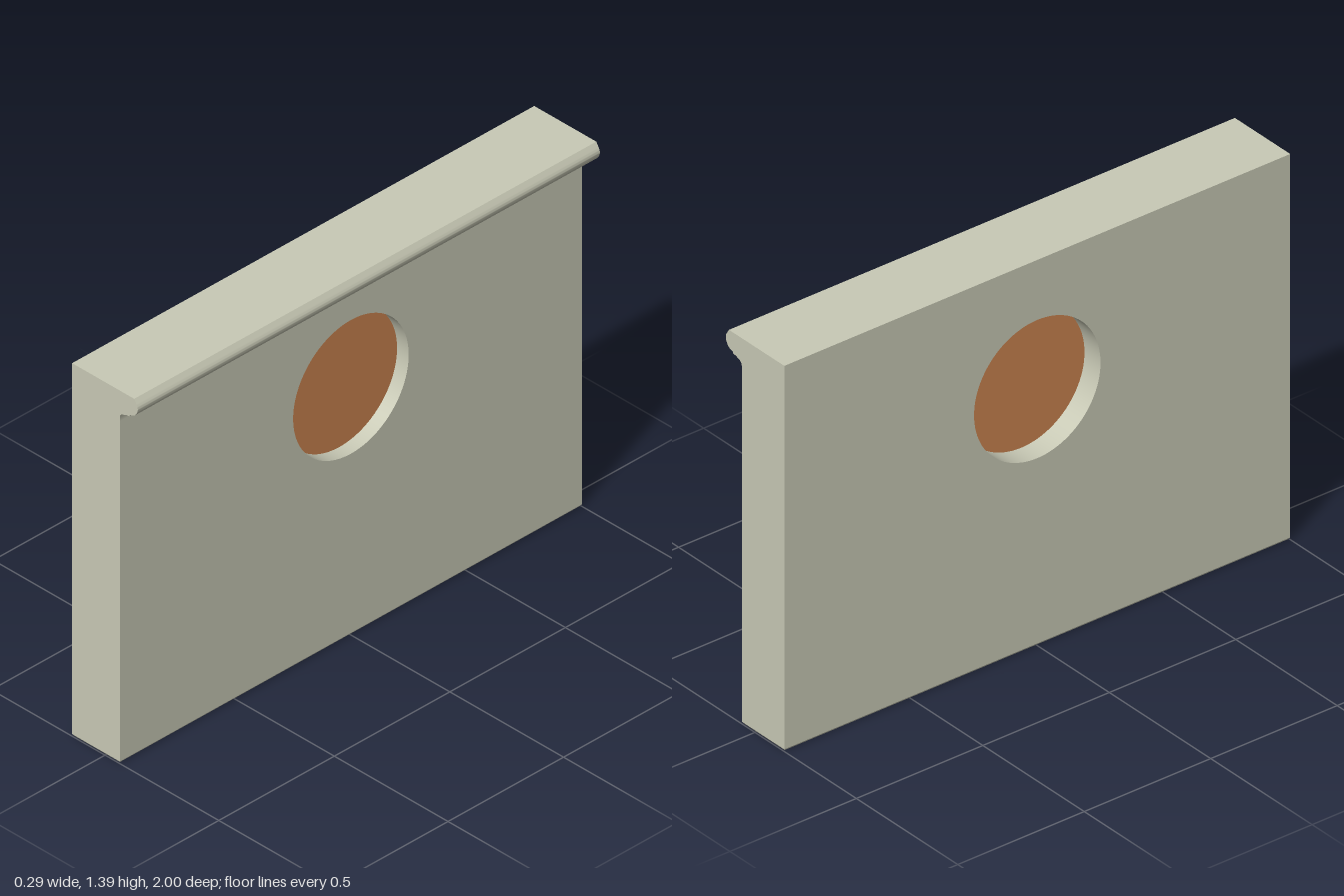
import * as THREE from 'three';
import { toCreasedNormals } from 'three/addons/utils/BufferGeometryUtils.js';

const BACK = -0.145, FACE = 0.065;   // wall faces along x
const FOOT = 0.008, CAP = 1.28, TOP = 1.395;
const HOLE_Y = 0.928, HOLE_R = 0.25;

export function createModel() {
  const group = new THREE.Group();
  const stone = new THREE.MeshStandardMaterial({ color: 0xc9cab6 });
  const orange = new THREE.MeshStandardMaterial({ color: 0xcc8450 });

  const add = (name, geometry, material) => {
    const mesh = new THREE.Mesh(geometry, material);
    mesh.name = name;
    group.add(mesh);
    return mesh;
  };

  // Wall slab with a round opening, extruded through its thickness
  const wall = new THREE.Shape();
  wall.moveTo(-1, FOOT).lineTo(1, FOOT).lineTo(1, CAP).lineTo(-1, CAP).closePath();
  wall.holes.push(new THREE.Path().absarc(0, HOLE_Y, HOLE_R, 0, Math.PI * 2, true));
  const wallGeo = new THREE.ExtrudeGeometry(wall, {
    depth: FACE - BACK, bevelEnabled: false, curveSegments: 48,
  });
  wallGeo.rotateY(Math.PI / 2).translate(BACK, 0, 0);
  add('wall', toCreasedNormals(wallGeo, 0.6), stone);

  // Softened bottom edge: a thin box whose lower corners are drawn inwards
  const footGeo = new THREE.BoxGeometry(FACE - BACK, FOOT, 2).toNonIndexed();
  const p = footGeo.attributes.position;
  for (let i = 0; i < p.count; i++) {
    if (p.getY(i) > 0) continue;
    p.setX(i, p.getX(i) - Math.sign(p.getX(i)) * 0.006);
    p.setZ(i, p.getZ(i) - Math.sign(p.getZ(i)) * 0.006);
  }
  footGeo.computeVertexNormals();
  footGeo.translate((BACK + FACE) / 2, FOOT / 2, 0);
  add('bottomEdge', footGeo, stone);

  // Top of the wall with its overhanging moulding, extruded along z
  const cap = new THREE.Shape();
  cap.moveTo(BACK, CAP);
  cap.lineTo(FACE, CAP);
  cap.lineTo(FACE, 1.295);
  cap.quadraticCurveTo(0.067, 1.311, 0.083, 1.313);
  cap.quadraticCurveTo(0.094, 1.319, 0.108, 1.319);
  cap.lineTo(0.109, 1.326);
  cap.quadraticCurveTo(0.128, 1.327, 0.137, 1.342);
  cap.bezierCurveTo(0.148, 1.358, 0.144, 1.37, 0.138, 1.379);
  cap.lineTo(0.128, TOP);
  cap.lineTo(BACK, TOP);
  cap.closePath();
  const capGeo = new THREE.ExtrudeGeometry(cap, {
    depth: 2, bevelEnabled: false, curveSegments: 8,
  });
  capGeo.translate(0, 0, -1);
  add('topMoulding', toCreasedNormals(capGeo, 0.6), stone);

  // Disc filling the middle of the opening
  const disc = add('disc', new THREE.CylinderGeometry(HOLE_R, HOLE_R, 0.08, 96), orange);
  disc.rotation.z = Math.PI / 2;
  disc.position.set(-0.026, HOLE_Y, 0);

  return group;
}
